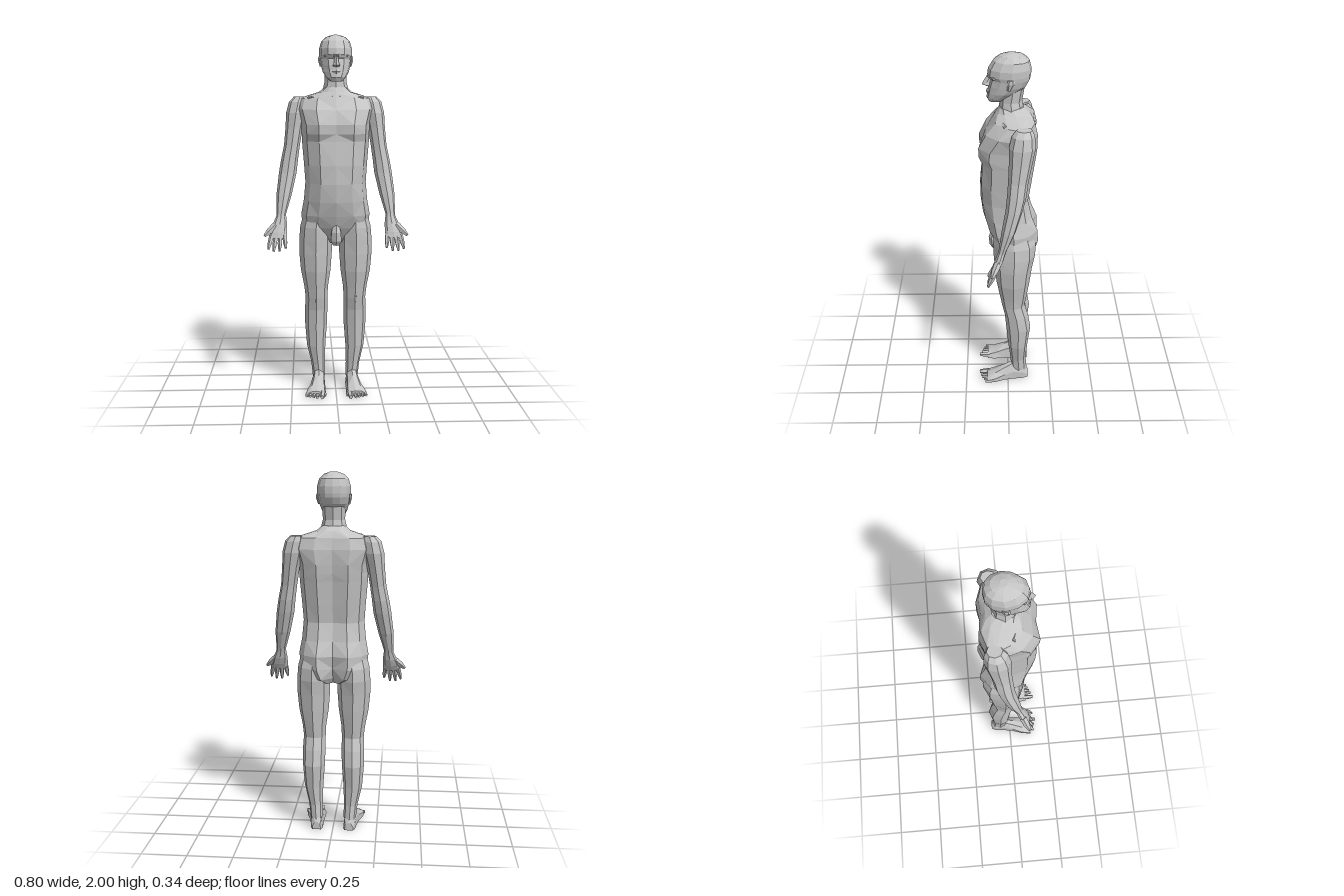
import * as THREE from 'three';

const skin = new THREE.MeshStandardMaterial({ color: 0xc6c6c6, flatShading: true });
skin.name = 'plain grey';

// Skin a list of equal-length rings of [x, y, z], cap both ends, face outwards
function loft(name, rings) {
  const n = rings[0].length, tris = [];
  const mid = (r) => [0, 1, 2].map((k) => r.reduce((t, p) => t + p[k], 0) / n);
  for (let i = 0; i + 1 < rings.length; i++) {
    const a = rings[i], b = rings[i + 1];
    for (let j = 0; j < n; j++) {
      const k = (j + 1) % n;
      if ((i + j) % 2) tris.push([a[j], b[j], b[k]], [a[j], b[k], a[k]]);
      else tris.push([a[j], b[j], a[k]], [a[k], b[j], b[k]]);
    }
  }
  const first = rings[0], last = rings[rings.length - 1];
  const c0 = mid(first), c1 = mid(last);
  for (let j = 0; j < n; j++) {
    const k = (j + 1) % n;
    tris.push([c0, first[j], first[k]], [c1, last[k], last[j]]);
  }
  // signed volume tells which way the corners run
  let volume = 0;
  for (const [p, q, r] of tris) {
    volume += p[0] * (q[1] * r[2] - q[2] * r[1]) + p[1] * (q[2] * r[0] - q[0] * r[2]) + p[2] * (q[0] * r[1] - q[1] * r[0]);
  }
  if (volume < 0) tris.forEach((t) => t.reverse());
  const geo = new THREE.BufferGeometry();
  geo.setAttribute('position', new THREE.Float32BufferAttribute(tris.flat(2), 3));
  geo.computeVertexNormals();
  const mesh = new THREE.Mesh(geo, skin);
  mesh.name = name;
  return mesh;
}

// Level oval ring: height, centre x, centre z, half width, half depth
const oval = (s, sides) => ([y, cx, cz, rx, rz]) => Array.from({ length: sides }, (_, i) => {
  const a = (i / sides) * Math.PI * 2;
  return [s * (cx + rx * Math.sin(a)), y, cz + rz * Math.cos(a)];
});
const limb = (name, s, rows, sides = 8) => loft(name, rows.map(oval(s, sides)));

// Symmetrical ring from one half: pairs of [x, z] running front to back
function halfRing(y, half) {
  const right = half.map(([x, z]) => [x, y, z]);
  const left = half.slice(1, -1).reverse().map(([x, z]) => [-x, y, z]);
  return [...right, ...left];
}

// Tapered square bar between two points
function bar(name, a, b, ra, rb, s = 1) {
  const A = new THREE.Vector3(...a), B = new THREE.Vector3(...b);
  const dir = B.clone().sub(A).normalize();
  const u = new THREE.Vector3(0, 0, 1).cross(dir);
  if (u.length() < 0.1) u.set(1, 0, 0);
  u.normalize();
  const v = dir.clone().cross(u);
  const ring = (c, r) => [0, 1, 2, 3, 4].map((i) => {
    const t = (i / 5) * Math.PI * 2;
    const p = c.clone().addScaledVector(u, r * Math.cos(t)).addScaledVector(v, r * Math.sin(t));
    return [s * p.x, p.y, p.z];
  });
  return loft(name, [ring(A, ra), ring(A.clone().lerp(B, 0.55), ra * 0.9), ring(B, rb)]);
}

function torso() {
  // height, half width, then depths from breastbone round to spine
  const rows = [
    [1.72, 0.06, 0.045, 0.04, 0.025, -0.02, -0.06, -0.08, -0.08],
    [1.695, 0.09, 0.06, 0.05, 0.02, -0.04, -0.09, -0.11, -0.11],
    [1.66, 0.2, 0.08, 0.065, 0, -0.07, -0.115, -0.138, -0.13],
    [1.6, 0.215, 0.115, 0.115, 0.05, -0.06, -0.125, -0.152, -0.14],
    [1.52, 0.19, 0.142, 0.155, 0.095, -0.04, -0.12, -0.152, -0.135],
    [1.47, 0.187, 0.138, 0.153, 0.1, -0.03, -0.112, -0.146, -0.13],
    [1.43, 0.186, 0.138, 0.135, 0.085, -0.03, -0.105, -0.14, -0.122],
    [1.3, 0.175, 0.15, 0.142, 0.09, -0.02, -0.09, -0.122, -0.105],
    [1.2, 0.168, 0.15, 0.138, 0.085, -0.01, -0.08, -0.107, -0.09],
    [1.1, 0.177, 0.138, 0.122, 0.075, -0.02, -0.095, -0.13, -0.11],
    [1.02, 0.192, 0.112, 0.1, 0.06, -0.03, -0.11, -0.162, -0.13],
    [0.95, 0.185, 0.085, 0.068, 0.04, -0.03, -0.11, -0.165, -0.115],
    [0.89, 0.14, 0.045, 0.035, 0.02, -0.04, -0.1, -0.15, -0.095],
    [0.86, 0.07, 0.01, 0.005, 0, -0.04, -0.07, -0.1, -0.07],
  ];
  const across = [0, 0.5, 0.85, 1, 0.83, 0.45, 0];
  return loft('torso', rows.map(([y, w, ...z]) => halfRing(y, across.map((f, i) => [f * w, z[i]]))));
}

function head() {
  const group = new THREE.Group();
  group.name = 'head';
  // height, half width, face depth, back depth, flatness of the cheek
  const rows = [
    [1.75, 0.03, 0.1, 0.03, 0.9], [1.77, 0.052, 0.11, 0, 0.75], [1.8, 0.07, 0.105, -0.05, 0.7],
    [1.835, 0.08, 0.1, -0.095, 0.7], [1.87, 0.086, 0.09, -0.113, 0.72], [1.89, 0.09, 0.105, -0.117, 0.7],
    [1.925, 0.09, 0.1, -0.118, 0.68], [1.965, 0.078, 0.075, -0.108, 0.68],
    [1.988, 0.054, 0.042, -0.08, 0.7], [2, 0.02, 0, -0.035, 0.7],
  ];
  group.add(loft('skull', rows.map(([y, w, f, b, k]) => {
    const m = (f + b) / 2, d = (f - b) / 2;
    return halfRing(y, [[0, f], [w * 0.5, m + d * 0.88], [w * 0.88, m + d * k * 0.65], [w, m - d * 0.1], [w * 0.8, m - d * 0.65], [w * 0.45, m - d * 0.93], [0, b]]);
  })));
  // nose widens from bridge to tip
  group.add(loft('nose', [[1.885, 0.008, 0.106], [1.85, 0.013, 0.127], [1.835, 0.019, 0.132], [1.825, 0.014, 0.105]]
    .map(([y, w, z]) => [[0, y, z], [w, y, z - 0.02], [w, y, 0.07], [-w, y, 0.07], [-w, y, z - 0.02]])));
  group.add(limb('lips', 1, [[1.812, 0, 0.09, 0.018, 0.018], [1.803, 0, 0.09, 0.028, 0.023], [1.79, 0, 0.09, 0.018, 0.018]], 6));
  for (const s of [-1, 1]) {
    group.add(bar('brow', [0.008, 1.887, 0.096], [0.062, 1.885, 0.07], 0.011, 0.007, s));
    group.add(limb('ear', s, [[1.885, 0.086, -0.015, 0.009, 0.018], [1.865, 0.087, -0.014, 0.01, 0.02], [1.83, 0.08, -0.005, 0.007, 0.01]], 6));
  }
  return group;
}

function arm(s) {
  const group = new THREE.Group();
  group.name = s > 0 ? 'leftArm' : 'rightArm';
  group.add(limb('armAndShoulder', s, [
    [1.668, 0.195, -0.08, 0.035, 0.04], [1.64, 0.205, -0.075, 0.052, 0.058], [1.58, 0.217, -0.07, 0.056, 0.068],
    [1.5, 0.229, -0.062, 0.048, 0.06], [1.4, 0.242, -0.05, 0.044, 0.052], [1.32, 0.256, -0.042, 0.047, 0.05],
    [1.25, 0.266, -0.03, 0.049, 0.045], [1.13, 0.287, 0, 0.042, 0.037], [1.03, 0.302, 0.03, 0.027, 0.022],
    [0.99, 0.304, 0.042, 0.028, 0.02],
  ]));
  // palm faces forward, thumb points out
  group.add(limb('palm', s, [
    [1.02, 0.302, 0.033, 0.026, 0.021], [0.97, 0.31, 0.05, 0.04, 0.023],
    [0.93, 0.318, 0.067, 0.047, 0.021], [0.9, 0.32, 0.08, 0.046, 0.015],
  ]));
  group.add(bar('thumb', [0.335, 0.965, 0.055], [0.393, 0.912, 0.088], 0.02, 0.008, s));
  const tips = [[0.372, 0.842], [0.343, 0.83], [0.311, 0.83], [0.277, 0.848]];
  tips.forEach(([x, y], i) => {
    group.add(bar('finger', [0.355 - i * 0.024, 0.912, 0.075], [x, y, 0.11], 0.014, 0.006, s));
  });
  return group;
}

function leg(s) {
  const group = new THREE.Group();
  group.name = s > 0 ? 'leftLeg' : 'rightLeg';
  group.add(limb('thighAndCalf', s, [
    [1.03, 0.105, -0.025, 0.07, 0.1], [0.95, 0.11, -0.034, 0.088, 0.117], [0.88, 0.112, -0.035, 0.092, 0.115],
    [0.8, 0.113, -0.03, 0.092, 0.104], [0.7, 0.112, -0.028, 0.084, 0.093], [0.6, 0.11, -0.03, 0.067, 0.076],
    [0.54, 0.108, -0.03, 0.062, 0.065], [0.47, 0.11, -0.048, 0.064, 0.067], [0.38, 0.111, -0.06, 0.063, 0.07],
    [0.25, 0.111, -0.058, 0.053, 0.056], [0.14, 0.1, -0.06, 0.039, 0.045], [0.06, 0.095, -0.066, 0.036, 0.046],
  ]));
  group.add(bar('kneecap', [0.108, 0.6, 0.015], [0.108, 0.52, 0.012], 0.026, 0.018, s));
  // foot sections from heel to ball: depth, centre x, half width, height
  group.add(loft('foot', [
    [-0.118, 0.092, 0.024, 0.045], [-0.095, 0.093, 0.034, 0.09], [-0.03, 0.097, 0.038, 0.115],
    [0.02, 0.102, 0.042, 0.085], [0.08, 0.11, 0.055, 0.052], [0.125, 0.114, 0.056, 0.032],
  ].map(([z, c, w, h]) => [[-1, 0], [1, 0], [1, 0.45], [0.5, 0.9], [-0.1, 1], [-0.8, 0.7]].map(([u, v]) => [s * (c + u * w), v * h, z]))));
  for (let i = 0; i < 5; i++) {
    const r = i ? 0.011 : 0.016, x = i ? 0.086 + i * 0.0195 : 0.077;
    group.add(bar('toe', [x, r, 0.11], [x + 0.003, r * 0.8, 0.172 - i * 0.009], r, r * 0.7, s));
  }
  return group;
}

export function createModel() {
  const model = new THREE.Group();
  model.name = 'standingFigure';
  model.add(torso(), head());
  model.add(limb('neck', 1, [
    [1.65, 0, -0.035, 0.1, 0.085], [1.7, 0, -0.018, 0.072, 0.066],
    [1.75, 0, -0.015, 0.06, 0.058], [1.82, 0, -0.025, 0.062, 0.06],
  ]));
  // simple rounded groin form
  model.add(limb('groin', 1, [
    [0.97, 0, 0.07, 0.02, 0.025], [0.93, 0, 0.075, 0.03, 0.033], [0.88, 0, 0.07, 0.034, 0.033], [0.855, 0, 0.065, 0.02, 0.02],
  ], 6));
  for (const s of [-1, 1]) {
    model.add(arm(s), leg(s));
    // collar bone
    model.add(bar('collarBone', [0.015, 1.668, 0.062], [0.15, 1.662, 0.015], 0.012, 0.01, s));
  }
  return model;
}
